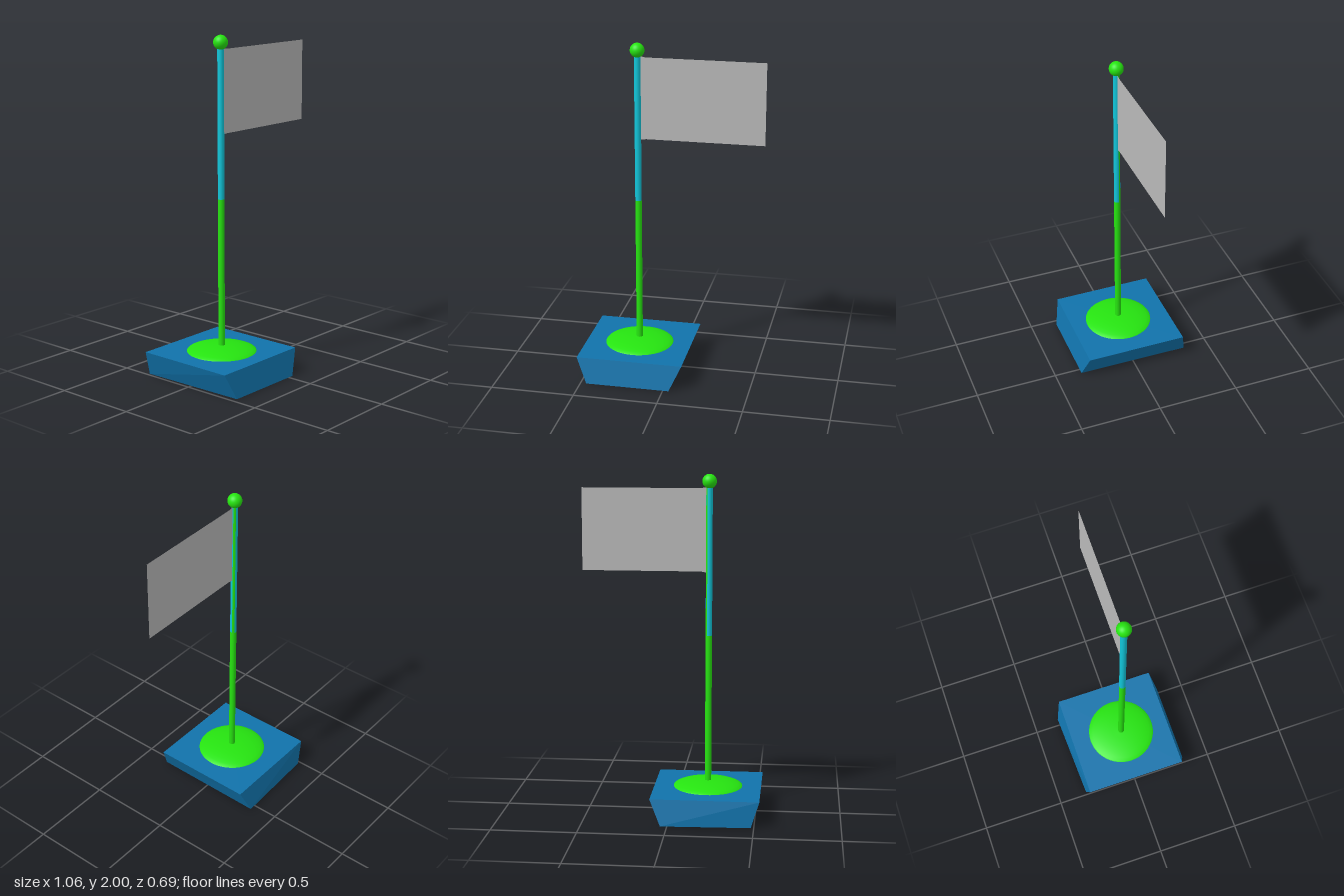
import * as THREE from 'three';

const PX = -0.213, PZ = 0.005; // pole axis

function mat(name, color, extra = {}) {
  const m = new THREE.MeshStandardMaterial({ color, ...extra });
  m.name = name;
  return m;
}

export function createModel() {
  const group = new THREE.Group();
  const blue = mat('base blue', 0x1173ab);
  const green = mat('bright green', 0x26e410);
  const cyan = mat('pole cyan', 0x11c6da);
  const grey = mat('flag grey', 0xbababa, { side: THREE.DoubleSide });

  const add = (name, geo, material, x = 0, y = 0, z = 0) => {
    const mesh = new THREE.Mesh(geo, material);
    mesh.name = name;
    mesh.position.set(x, y, z);
    group.add(mesh);
    return mesh;
  };

  // Block base: a box whose lower corners are pulled in at the sides and out at front and back
  let base = new THREE.BoxGeometry(1, 1, 1);
  const p = base.attributes.position;
  for (let i = 0; i < p.count; i++) {
    const right = p.getX(i) > 0, top = p.getY(i) > 0, front = p.getZ(i) > 0;
    if (top) p.setXYZ(i, right ? 0.105 : -0.53, 0.15, front ? 0.305 : -0.31);
    else if (front) p.setXYZ(i, right ? 0.035 : -0.465, 0, 0.34);
    else p.setXYZ(i, right ? 0.04 : -0.483, 0, right ? -0.345 : -0.325);
  }
  base = base.toNonIndexed();
  base.computeVertexNormals();
  add('base', base, blue);

  // Shallow dome at the foot of the pole
  const dome = [[0.207, 0.148], [0.2, 0.155], [0.18, 0.163], [0.15, 0.171], [0.11, 0.178], [0.06, 0.183], [0, 0.185]];
  add('dome', new THREE.LatheGeometry(dome.map(([r, y]) => new THREE.Vector2(r, y)), 48), green, PX, 0, PZ);

  // Pole: green below, cyan above with a narrow green strip at the back
  const poleArc = (name, y0, y1, material, from, sweep) => {
    const rad = THREE.MathUtils.degToRad;
    const geo = new THREE.CylinderGeometry(0.019, 0.019, y1 - y0, sweep / 15, 1, true, rad(from), rad(sweep));
    add(name, geo, material, PX, (y0 + y1) / 2, PZ);
  };
  poleArc('lowerPole', 0.17, 1.06, green, 0, 360);
  poleArc('upperPole', 1.06, 1.94, cyan, 150, 315);
  poleArc('upperPoleStrip', 1.06, 1.94, green, 105, 45);

  // Ball on top
  add('ball', new THREE.SphereGeometry(0.042, 32, 20), green, PX, 1.958, PZ);

  // Flat flag, slightly flared where it meets the pole
  const flag = new THREE.Shape([
    [-0.2, 1.43], [-0.165, 1.436], [0.53, 1.436], [0.53, 1.918], [-0.165, 1.918], [-0.2, 1.925],
  ].map(([x, y]) => new THREE.Vector2(x, y)));
  add('flag', new THREE.ShapeGeometry(flag), grey, 0, 0, PZ);

  return group;
}
